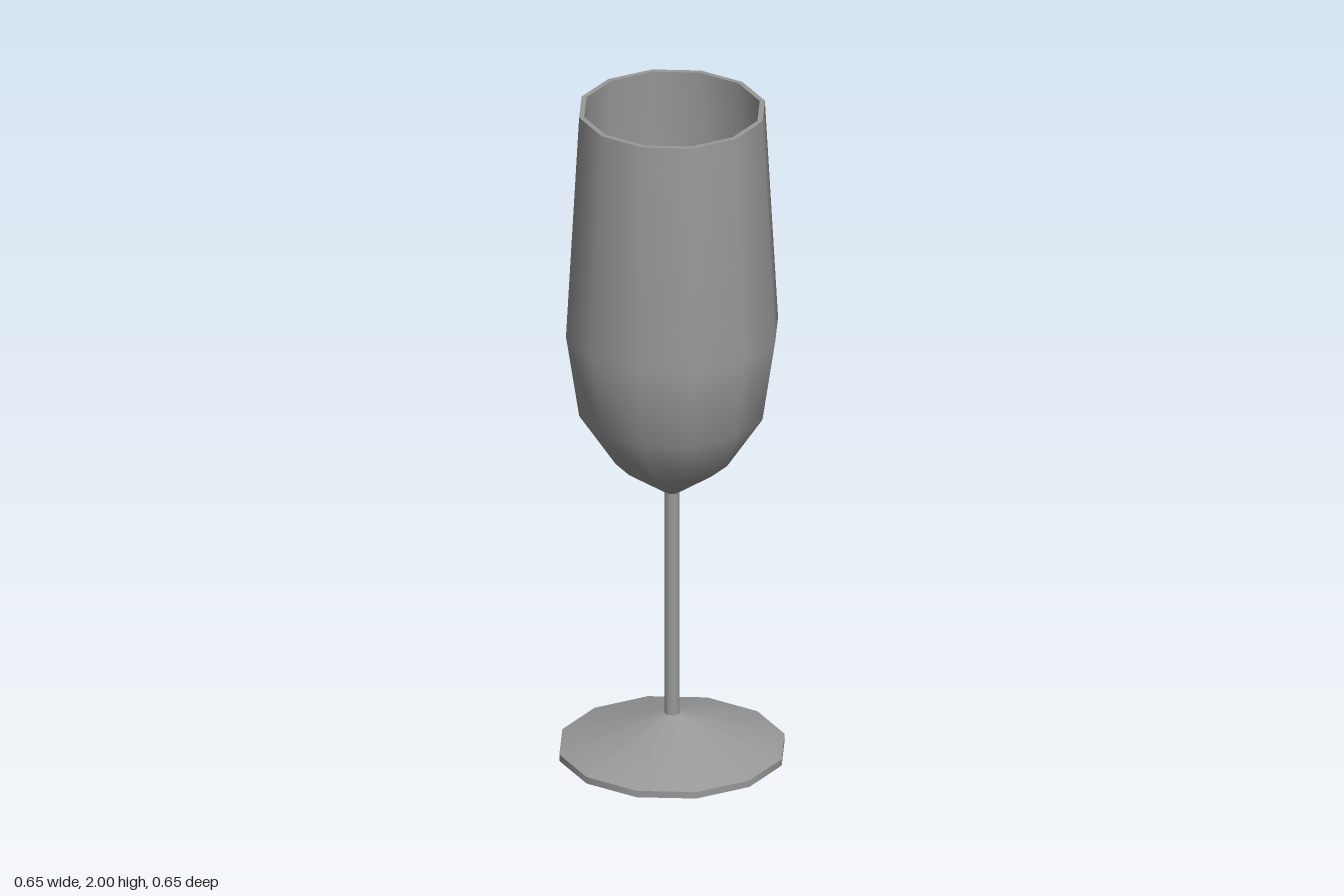
import * as THREE from 'three';

const SIDES = 12;

export function createModel() {
  const model = new THREE.Group();
  model.name = 'champagneFlute';

  const grey = new THREE.MeshStandardMaterial({ color: 0x999999 });
  grey.name = 'grey';

  // Each part is a turned strip; separate strips keep the edges between them sharp
  const turn = (name, parent, profile) => {
    const points = profile.map(([r, y]) => new THREE.Vector2(r, y));
    const mesh = new THREE.Mesh(new THREE.LatheGeometry(points, SIDES), grey);
    mesh.name = name;
    parent.add(mesh);
  };
  const part = (name) => {
    const group = new THREE.Group();
    group.name = name;
    model.add(group);
    return group;
  };

  // Foot: flat underside, thin edge and shallow cone
  const foot = part('foot');
  turn('footUnderside', foot, [[0, 0], [0.325, 0]]);
  turn('footEdge', foot, [[0.325, 0], [0.325, 0.02]]);
  turn('footTop', foot, [[0.325, 0.02], [0.022, 0.12]]);

  // Stem
  turn('stem', model, [[0.022, 0.12], [0.022, 0.81]]);

  // Bowl: outer wall, flat rim, inner wall and small floor
  const bowl = part('bowl');
  turn('bowlOutside', bowl, [[0.022, 0.81], [0.163, 0.91], [0.268, 1.07], [0.306, 1.32], [0.268, 2]]);
  turn('bowlRim', bowl, [[0.268, 2], [0.253, 2]]);
  turn('bowlInside', bowl, [[0.253, 2], [0.291, 1.32], [0.254, 1.08], [0.154, 0.925], [0.057, 0.85]]);
  turn('bowlFloor', bowl, [[0.057, 0.85], [0, 0.85]]);

  return model;
}
